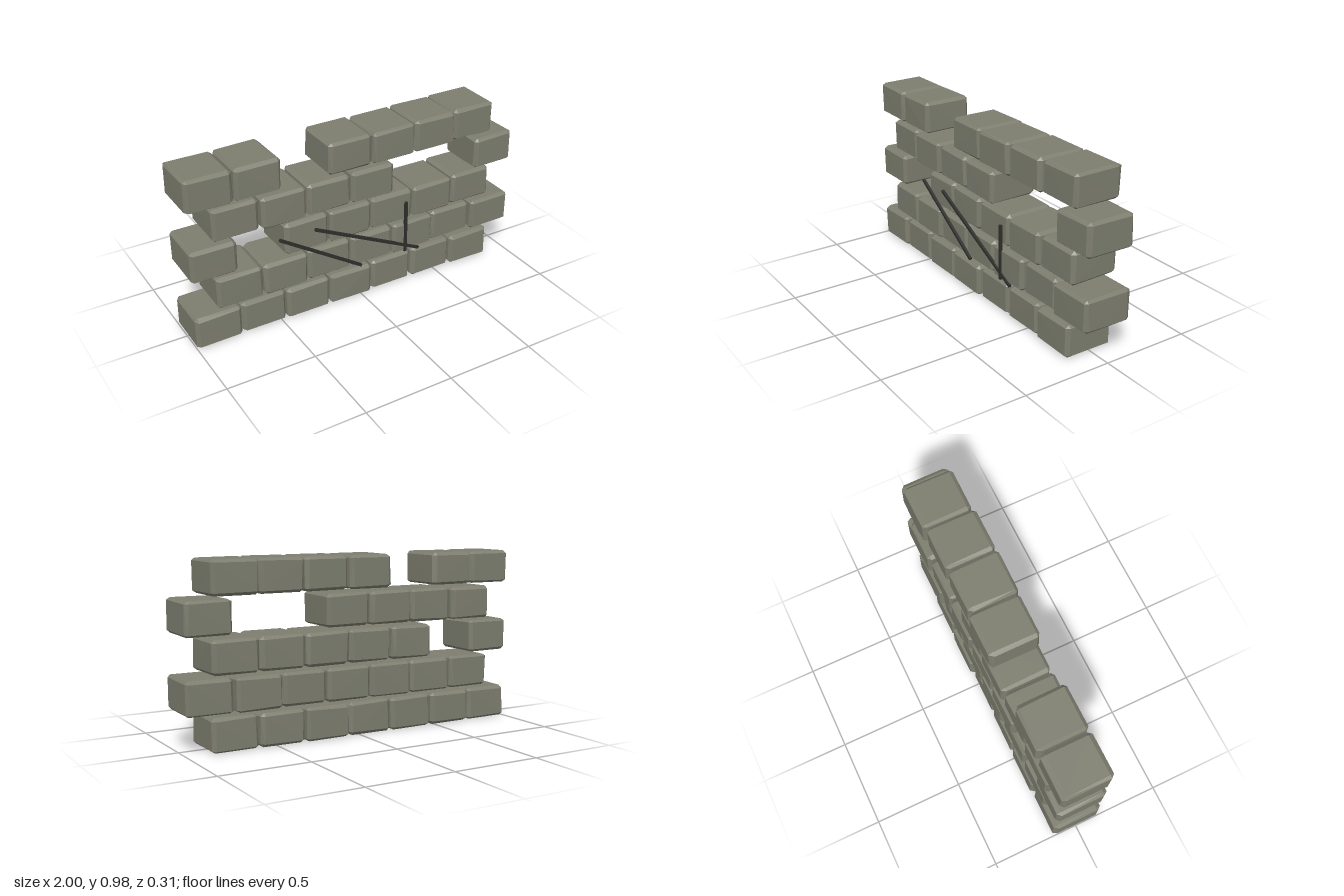
import * as THREE from 'three';
import { ConvexGeometry } from 'three/addons/geometries/ConvexGeometry.js';

// Small seeded generator for the hand-hewn wobble
function seeded(seed) {
  return () => {
    seed = (seed * 16807) % 2147483647;
    return seed / 2147483647 - 0.5;
  };
}

// Chamfered block: three points near each corner, nudged a little
function blockGeometry(w, h, d, rand) {
  const points = [];
  const cut = () => 0.018 + rand() * 0.01;
  for (const sx of [-1, 1]) for (const sy of [-1, 1]) for (const sz of [-1, 1]) {
    const cx = cut(), cy = cut() * 0.8, cz = cut() * 1.2;
    const X = w / 2 - Math.abs(rand()) * 0.006;
    const Y = h / 2 - Math.abs(rand()) * 0.004;
    const Z = d / 2 - Math.abs(rand()) * 0.006;
    points.push(
      new THREE.Vector3(sx * X, sy * (Y - cy), sz * (Z - cz)),
      new THREE.Vector3(sx * (X - cx), sy * Y, sz * (Z - cz)),
      new THREE.Vector3(sx * (X - cx), sy * (Y - cy), sz * Z),
    );
  }
  return new ConvexGeometry(points);
}

export function createModel() {
  const model = new THREE.Group();
  model.name = 'brokenWall';
  const stone = new THREE.MeshStandardMaterial({ color: 0x7d7e6f });
  stone.name = 'stone';
  const iron = new THREE.MeshStandardMaterial({ color: 0x2f2f2c });
  iron.name = 'darkIron';

  // Courses from the ground up: [slot, depth offset] for each surviving block
  const courses = [
    [[0, 0.005], [1, -0.005], [2, 0], [3, 0.005], [4, -0.008], [5, 0], [6, 0.01]],
    [[0, 0], [1, 0.005], [2, -0.005], [3, 0], [4, 0.005], [5, -0.01], [6, 0.012]],
    [[0, 0], [2, -0.005], [3, 0], [4, -0.005], [5, 0], [6, -0.01]],
    [[0, -0.01], [1, 0.005], [2, 0], [3, 0.005], [6, 0.01]],
    [[0, -0.003], [1, -0.005], [3, -0.004], [4, 0.004], [5, 0], [6, -0.013]],
  ];
  const rand = seeded(4711);
  courses.forEach((slots, row) => {
    const course = new THREE.Group();
    course.name = `course${row + 1}`;
    for (const [slot, z] of slots) {
      const block = new THREE.Mesh(blockGeometry(0.262, 0.184, 0.288, rand), stone);
      block.name = 'stoneBlock';
      block.position.set(-0.868 + slot * 0.267 + (row % 2) * 0.135, 0.098 + row * 0.2, z);
      course.add(block);
    }
    model.add(course);
  });

  // Thin bars lying across the front face
  const bars = [
    [-0.505, 0.525, -0.01, 0.21],
    [-0.295, 0.525, 0.37, 0.205],
    [0.28, 0.525, 0.28, 0.21],
  ];
  for (const [x1, y1, x2, y2] of bars) {
    const length = Math.hypot(x2 - x1, y2 - y1);
    const bar = new THREE.Mesh(new THREE.BoxGeometry(0.016, length, 0.015), iron);
    bar.name = 'frontBar';
    bar.position.set((x1 + x2) / 2, (y1 + y2) / 2, 0.149);
    bar.rotation.z = Math.atan2(x1 - x2, y2 - y1);
    model.add(bar);
  }
  return model;
}
